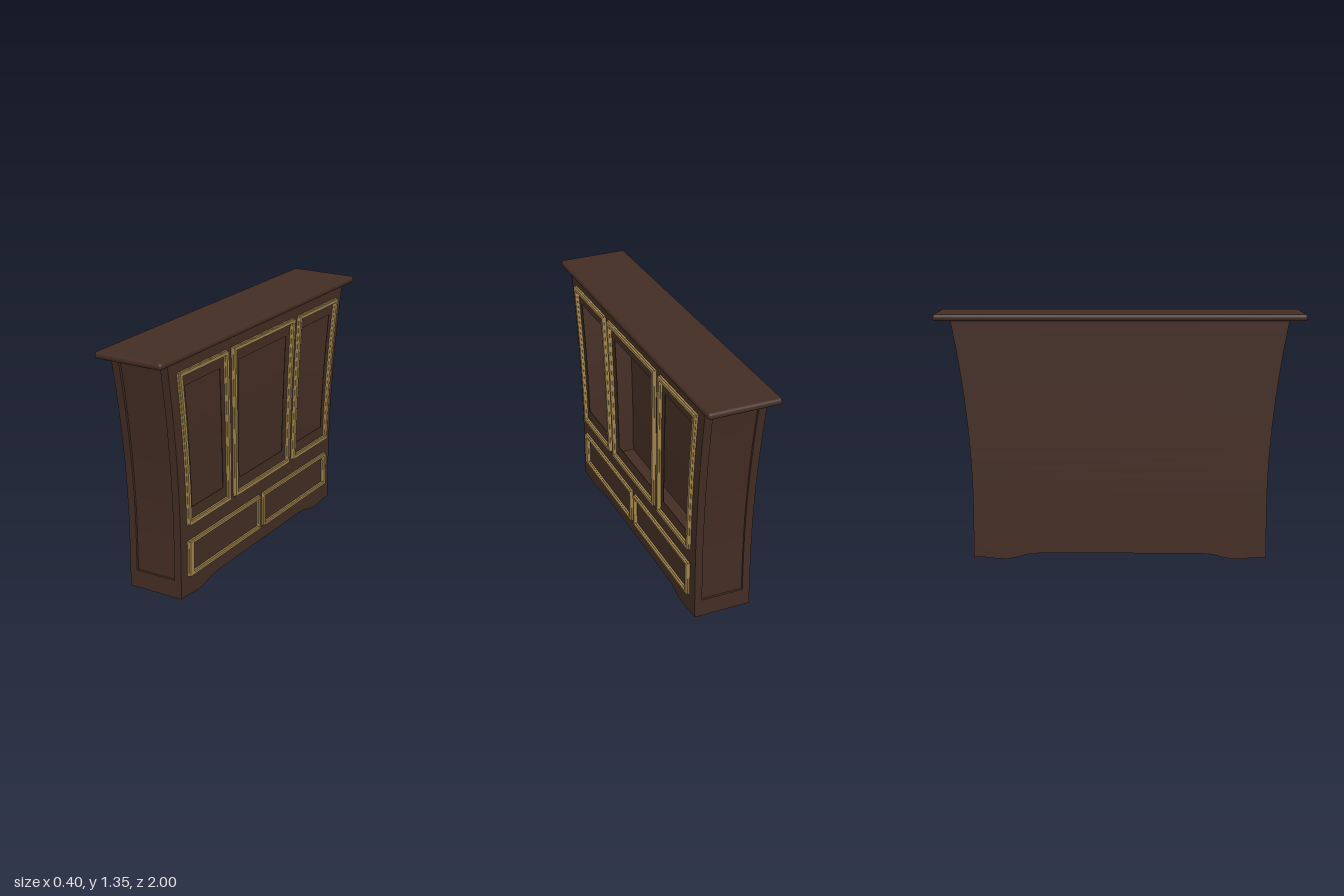
import * as THREE from 'three';
import { RoundedBoxGeometry } from 'three/addons/geometries/RoundedBoxGeometry.js';

const wood = new THREE.MeshStandardMaterial({ color: 0x432d24 });
wood.name = 'dark wood';
const gold = new THREE.MeshStandardMaterial({ color: 0xa0844c });
gold.name = 'gold trim';

// Cabinet half sizes before the flare
const X = 0.16, Z = 0.8, TOP = 1.312, BASE = 0.1, SKIN = 0.004;

// How much the cabinet widens at a given height
const flare = (y) => 0.131 * Math.pow(Math.max(0, (y - 0.3) / 1.01), 1.85);

function warp(geometry) {
  const p = geometry.attributes.position;
  for (let i = 0; i < p.count; i++) {
    const f = flare(p.getY(i));
    p.setX(i, p.getX(i) * (1 + 0.42 * f));
    p.setZ(i, p.getZ(i) * (1 + f));
  }
  geometry.computeVertexNormals();
  return geometry;
}

// Box given by its limits, bent along the flare
function slab(parent, name, material, [x0, x1], [y0, y1], [z0, z1]) {
  const rows = Math.max(1, Math.ceil((y1 - y0) / 0.06));
  const geometry = new THREE.BoxGeometry(x1 - x0, y1 - y0, z1 - z0, 1, rows, 1);
  geometry.translate((x0 + x1) / 2, (y0 + y1) / 2, (z0 + z1) / 2);
  const mesh = new THREE.Mesh(warp(geometry), material);
  mesh.name = name;
  parent.add(mesh);
}

// Gold moulding: a flat lip with a narrower raised bead
function trimFrame(parent, name, [y0, y1], [z0, z1], w, wLow = w, wHigh = w) {
  const frame = new THREE.Group();
  frame.name = name;
  const layers = [[X - 0.002, X + 0.01, 0], [X + 0.01, X + 0.02, 0.003]];
  for (const [a, b, inset] of layers) {
    const [ya, yb, za, zb] = [y0 + inset, y1 - inset, z0 + inset, z1 - inset];
    const t = w - 2 * inset, tl = wLow - 2 * inset, th = wHigh - 2 * inset;
    slab(frame, 'bottomRail', gold, [a, b], [ya, ya + t], [za, zb]);
    slab(frame, 'topRail', gold, [a, b], [yb - t, yb], [za, zb]);
    slab(frame, 'stile', gold, [a, b], [ya + t, yb - t], [za, za + tl]);
    slab(frame, 'stile', gold, [a, b], [ya + t, yb - t], [zb - th, zb]);
  }
  parent.add(frame);
}

export function createModel() {
  const counter = new THREE.Group();
  counter.name = 'counter';

  // Plinth with a scalloped lower edge
  const edge = [[0.8, 0.01], [0.74, 0.01], [0.68, 0.003], [0.62, 0], [0.57, 0.009], [0.51, 0.026], [0.44, 0.033]];
  const outline = [[-Z, BASE], ...edge.map(([z, y]) => [-z, y]), ...edge.slice().reverse(), [Z, BASE]];
  const shape = new THREE.Shape(outline.map(([z, y]) => new THREE.Vector2(z, y)));
  const plinthGeometry = new THREE.ExtrudeGeometry(shape, { depth: 2 * X, bevelEnabled: false });
  plinthGeometry.translate(0, 0, -X);
  plinthGeometry.rotateY(-Math.PI / 2);
  const plinth = new THREE.Mesh(plinthGeometry, wood);
  plinth.name = 'plinth';
  counter.add(plinth);

  // Hollow shell: back wall and panelled front with three openings
  slab(counter, 'backWall', wood, [-X, -X + SKIN], [BASE, TOP], [-Z, Z]);
  const skin = [X - SKIN, X];
  const low = 0.493, high = 1.164;
  slab(counter, 'frontLower', wood, skin, [BASE, low], [-Z, Z]);
  slab(counter, 'frontUpper', wood, skin, [high, TOP], [-Z, Z]);
  for (const s of [-1, 1]) {
    for (const [a, b] of [[0.228, 0.392], [0.685, Z]]) {
      slab(counter, 'frontPost', wood, skin, [low, high], s > 0 ? [a, b] : [-b, -a]);
    }
  }

  // Ends with shallow sunken panels
  const recess = 0.012, px = 0.118;
  for (const s of [-1, 1]) {
    const end = new THREE.Group();
    end.name = s > 0 ? 'nearEnd' : 'farEnd';
    const span = (a, b) => (s > 0 ? [a, b] : [-b, -a]);
    const face = span(Z - recess, Z);
    const inner = [-X + SKIN, X - SKIN];
    slab(end, 'sunkenPanel', wood, inner, [BASE, TOP], span(Z - recess - SKIN, Z - recess));
    slab(end, 'endPost', wood, [px, inner[1]], [BASE, TOP], face);
    slab(end, 'endPost', wood, [inner[0], -px], [BASE, TOP], face);
    slab(end, 'endTopRail', wood, [-px, px], [1.287, TOP], face);
    slab(end, 'endBottomRail', wood, [-px, px], [BASE, 0.11], face);
    counter.add(end);
  }

  // Gold frames round the openings and the lower panels
  const tall = [0.406, 1.25];
  trimFrame(counter, 'centreFrame', tall, [-0.29, 0.29], 0.023);
  trimFrame(counter, 'outerFrame', tall, [0.335, 0.74], 0.023);
  trimFrame(counter, 'outerFrame', tall, [-0.74, -0.335], 0.023);
  const lower = [0.118, 0.317];
  trimFrame(counter, 'lowerFrame', lower, [0.027, 0.74], 0.018, 0.018, 0.04);
  trimFrame(counter, 'lowerFrame', lower, [-0.735, -0.011], 0.018, 0.024, 0.018);

  // Rounded worktop
  const top = new THREE.Mesh(new RoundedBoxGeometry(0.396, 0.037, 2, 4, 0.017), wood);
  top.name = 'worktop';
  top.position.y = 1.3275;
  counter.add(top);

  return counter;
}
